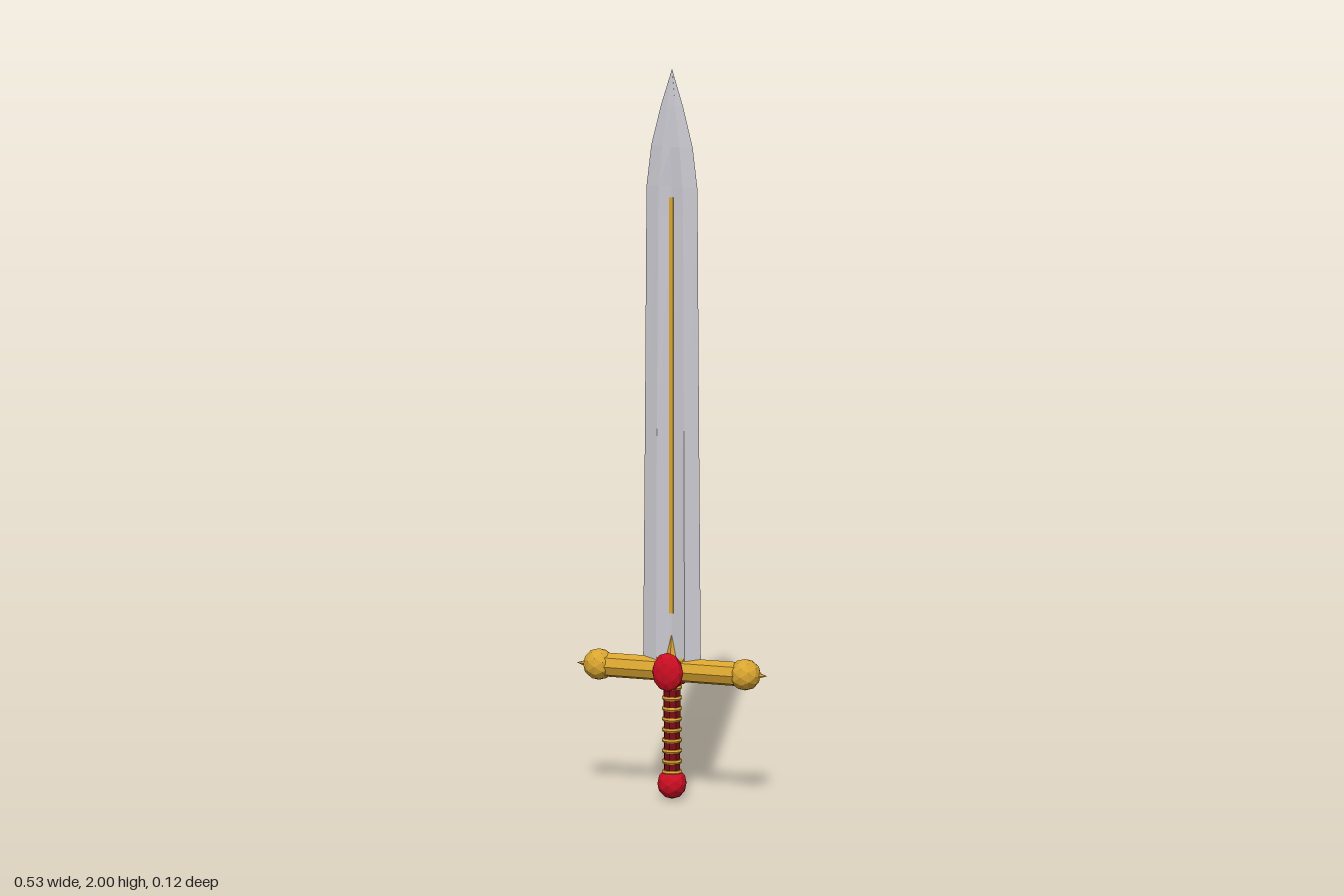
import * as THREE from 'three';

const mat = (color) => new THREE.MeshStandardMaterial({ color, flatShading: true });
const steel = mat(0xc9c9d0), gold = mat(0xd9a530), ruby = mat(0xcc0e22), leather = mat(0x7a0c14);

function add(parent, name, geometry, material, x = 0, y = 0, z = 0) {
  const mesh = new THREE.Mesh(geometry, material);
  mesh.name = name;
  mesh.position.set(x, y, z);
  parent.add(mesh);
  return mesh;
}

// Blade lofted through eight-sided sections with a hollow fuller on both faces
function bladeGeometry() {
  // height, half width, ridge x, ridge z, fuller depth z
  const stations = [
    [0.36, 0.081, 0.04, 0.015, 0.004],
    [1.0, 0.076, 0.038, 0.014, 0.004],
    [1.6, 0.072, 0.035, 0.012, 0.004],
    [1.68, 0.071, 0.033, 0.012, 0.005],
    [1.79, 0.058, 0.024, 0.01, 0.009],
    [1.9, 0.031, 0.011, 0.006, 0.006],
    [2.0, 0.0005, 0.0002, 0.0004, 0.0004],
  ];
  const positions = [], index = [];
  stations.forEach(([y, w, f, r, c]) => {
    const ring = [[w, 0], [f, r], [0, c], [-f, r], [-w, 0], [-f, -r], [0, -c], [f, -r]];
    ring.forEach(([x, z]) => positions.push(x, y, z));
  });
  for (let s = 0; s < stations.length - 1; s++) {
    for (let i = 0; i < 8; i++) {
      const a = s * 8 + i, b = s * 8 + (i + 1) % 8;
      index.push(a, a + 8, b, b, a + 8, b + 8);
    }
  }
  const g = new THREE.BufferGeometry();
  g.setAttribute('position', new THREE.Float32BufferAttribute(positions, 3));
  g.setIndex(index);
  g.computeVertexNormals();
  return g;
}

export function createModel() {
  const sword = new THREE.Group();
  sword.name = 'sword';

  add(sword, 'blade', bladeGeometry(), steel);
  add(sword, 'bladeInlay', new THREE.BoxGeometry(0.011, 1.14, 0.014), gold, 0, 1.08, 0);

  // Crossguard
  const guardY = 0.355;
  const guard = new THREE.Group();
  guard.name = 'crossguard';
  guard.position.y = guardY;
  sword.add(guard);
  const bar = new THREE.CylinderGeometry(0.033, 0.033, 0.4, 8).rotateZ(Math.PI / 2);
  add(guard, 'guardBar', bar, gold);
  for (const s of [-1, 1]) {
    add(guard, 'guardBall', new THREE.IcosahedronGeometry(0.043, 1), gold, s * 0.205, 0, 0);
    const tip = add(guard, 'guardTip', new THREE.ConeGeometry(0.012, 0.034, 6), gold, s * 0.25, 0, 0);
    tip.rotation.z = -s * Math.PI / 2;
    const gem = add(guard, 'guardGem', new THREE.IcosahedronGeometry(1, 1), ruby, 0, 0, s * 0.038);
    gem.scale.set(0.043, 0.054, 0.024);
  }

  // Three thorns fanned around the blade root
  for (const s of [-1, 0, 1]) {
    const height = s ? 0.095 : 0.1;
    const geo = new THREE.ConeGeometry(0.019, height, 6).translate(0, height / 2, 0);
    const thorn = add(guard, 'guardThorn', geo, gold, s * 0.028, 0.018, 0);
    thorn.rotation.z = -s * 0.55;
  }

  // Grip with wire rings
  add(sword, 'grip', new THREE.CylinderGeometry(0.024, 0.022, 0.27, 8), leather, 0, 0.205, 0);
  for (let i = 0; i < 9; i++) {
    const ring = new THREE.TorusGeometry(0.022, 0.006, 6, 12).rotateX(Math.PI / 2);
    add(sword, 'gripRing', ring, gold, 0, 0.075 + i * 0.029, 0);
  }

  // Pommel
  const pommel = add(sword, 'pommel', new THREE.IcosahedronGeometry(0.04, 1), ruby, 0, 0.043, 0);
  pommel.scale.y = 1.06;

  return sword;
}
